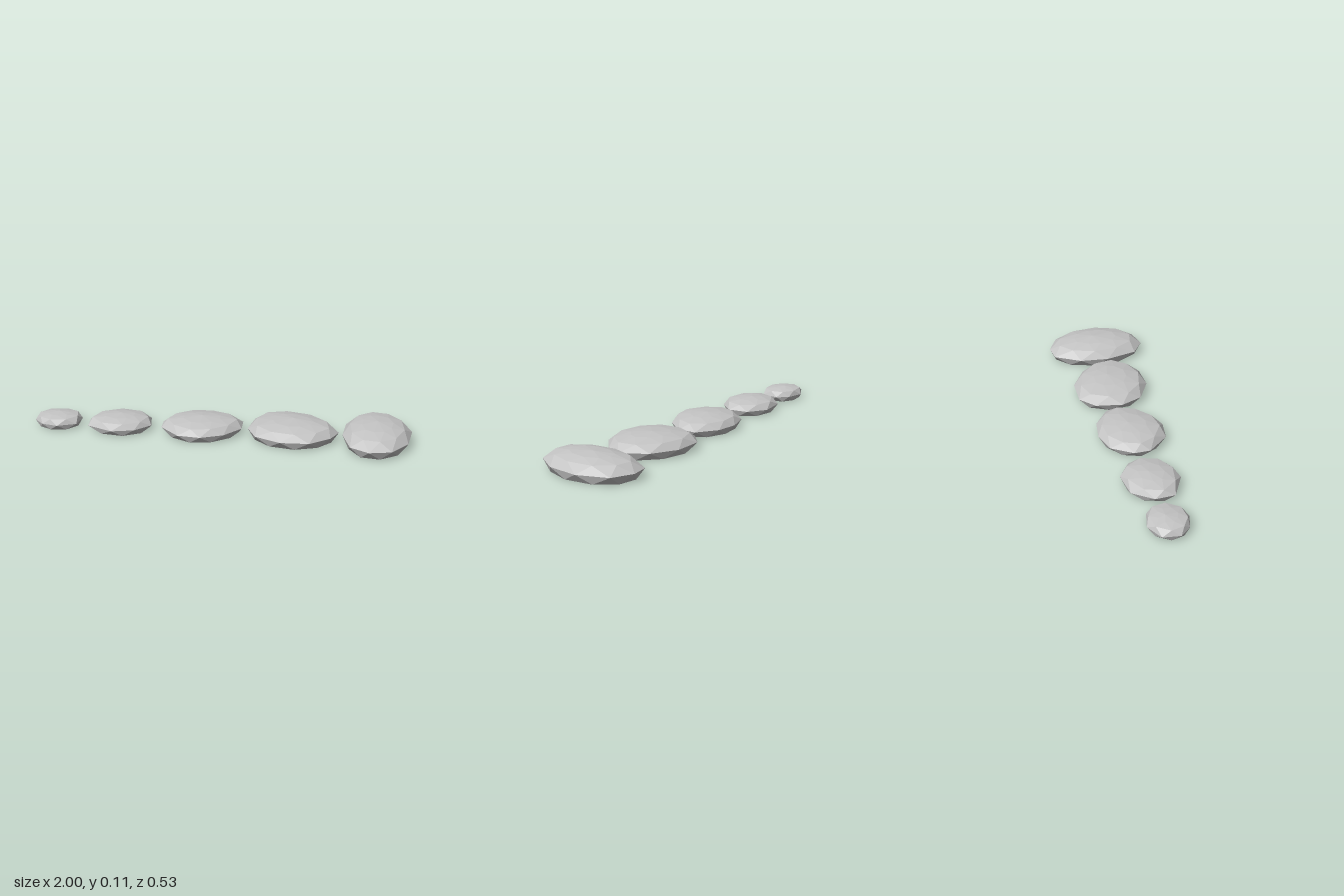
import * as THREE from 'three';

// Each stone: height, shoulder scale and height share, and its widest outline as x, z pairs
const stones = [
  { name: 'smallestStone', h: 0.07, s: 0.91, sy: 0.80, outline: [-0.90, -0.11, -0.80, -0.09, -0.755, -0.035, -0.765, 0.06, -0.86, 0.105, -0.945, 0.085, -0.998, 0.03, -0.99, -0.06] },
  { name: 'smallStone', h: 0.08, s: 0.89, sy: 0.77, outline: [-0.63, -0.125, -0.485, -0.145, -0.385, -0.08, -0.365, 0.03, -0.44, 0.115, -0.555, 0.147, -0.695, 0.083, -0.705, -0.02] },
  { name: 'middleStone', h: 0.09, s: 0.86, sy: 0.77, outline: [-0.24, -0.14, -0.12, -0.177, 0, -0.163, 0.11, -0.088, 0.115, 0.013, 0.035, 0.12, -0.08, 0.175, -0.2, 0.163, -0.305, 0.056, -0.31, -0.03] },
  { name: 'largeStone', h: 0.10, s: 0.86, sy: 0.77, outline: [0.25, -0.205, 0.405, -0.205, 0.54, -0.13, 0.623, 0.003, 0.585, 0.093, 0.483, 0.18, 0.335, 0.19, 0.2, 0.125, 0.147, 0.013, 0.168, -0.13] },
  { name: 'longStone', h: 0.11, s: 0.82, sy: 0.77, outline: [0.73, -0.253, 0.825, -0.268, 0.937, -0.215, 0.998, -0.055, 0.98, 0.115, 0.9, 0.237, 0.787, 0.265, 0.69, 0.205, 0.643, 0.04, 0.653, -0.115] },
];

function stoneGeometry({ h, s, sy, outline }) {
  const girdle = [];
  for (let i = 0; i < outline.length; i += 2) {
    girdle.push(new THREE.Vector3(outline[i], 0.41 * h, outline[i + 1]));
  }
  const n = girdle.length;
  const centre = new THREE.Box3().setFromPoints(girdle).getCenter(new THREE.Vector3());
  const mids = girdle.map((p, i) => p.clone().lerp(girdle[(i + 1) % n], 0.5));
  const ring = (points, scale, y) => points.map((p) => {
    const q = p.clone().sub(centre).multiplyScalar(scale).add(centre);
    q.y = y;
    return q;
  });
  const base = ring(mids, 0.92, 0);
  const shoulder = ring(mids, s, sy * h);
  const crown = ring(girdle, 0.45, 0.92 * h);
  const bottom = centre.clone().setY(0);
  const apex = new THREE.Vector3(centre.x, h, centre.z - 0.015);

  const corners = [];
  // Band of alternating facets; shift pairs each upper corner with the gap below it
  const band = (low, high, shift) => {
    for (let i = 0; i < n; i++) {
      const next = (i + 1) % n;
      const a = high[(i + shift) % n];
      const b = high[(next + shift) % n];
      corners.push(low[next], low[i], a, low[next], a, b);
    }
  };
  band(base, girdle, 1);
  band(girdle, shoulder, 0);
  band(shoulder, crown, 1);
  for (let i = 0; i < n; i++) {
    const next = (i + 1) % n;
    corners.push(crown[next], crown[i], apex, base[i], base[next], bottom);
  }
  const geometry = new THREE.BufferGeometry().setFromPoints(corners);
  geometry.computeVertexNormals();
  return geometry;
}

export function createModel() {
  const model = new THREE.Group();
  model.name = 'steppingStones';
  const stoneGrey = new THREE.MeshStandardMaterial({ color: 0xc4c4c4, flatShading: true });
  stoneGrey.name = 'stoneGrey';
  for (const stone of stones) {
    const mesh = new THREE.Mesh(stoneGeometry(stone), stoneGrey);
    mesh.name = stone.name;
    model.add(mesh);
  }
  return model;
}
